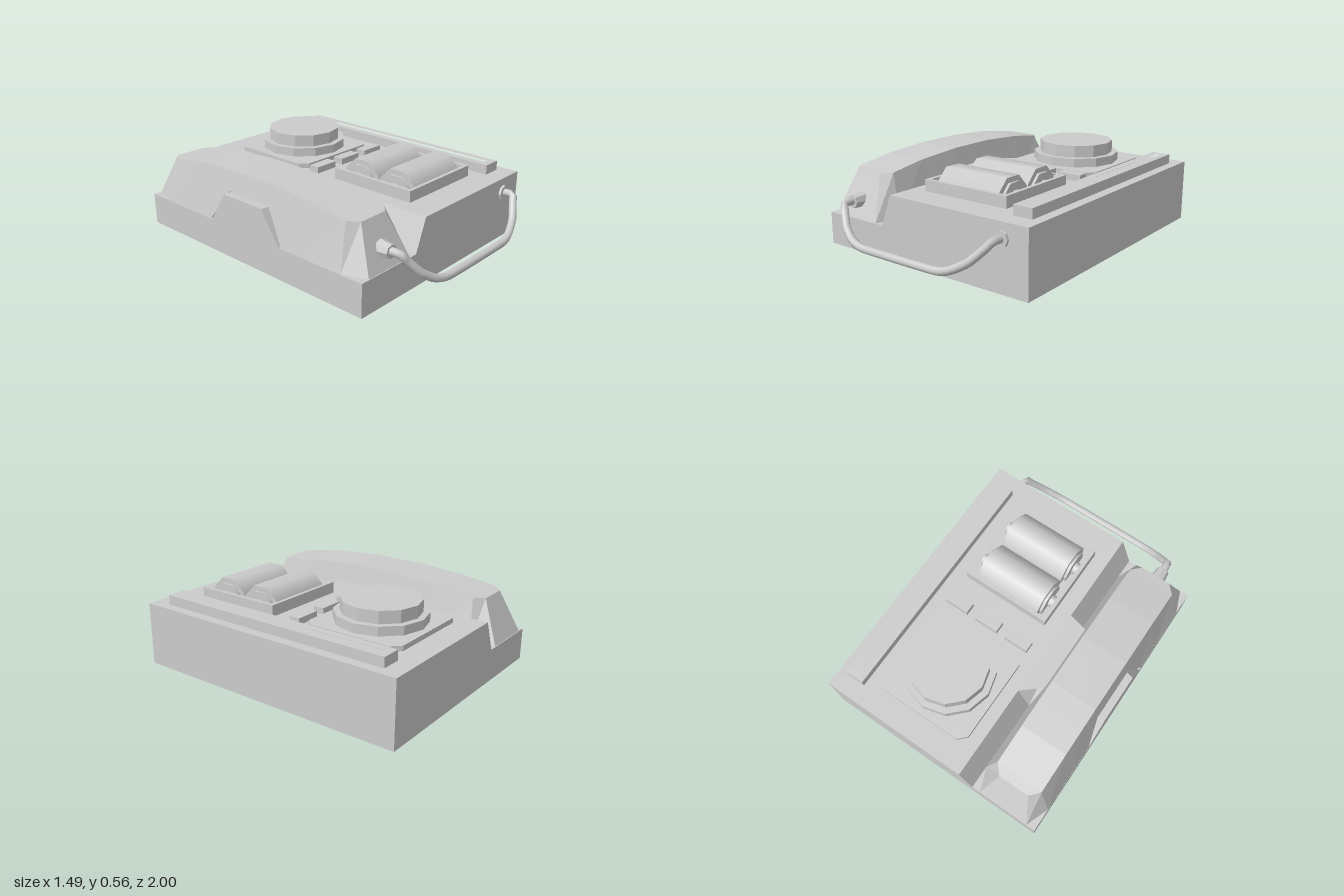
import * as THREE from 'three';

const grey = new THREE.MeshStandardMaterial({ color: 0xcccccc });
const flat = new THREE.MeshStandardMaterial({ color: 0xcccccc, flatShading: true });
const sheet = new THREE.MeshStandardMaterial({ color: 0xcccccc, flatShading: true, side: THREE.DoubleSide });

// Fans convex polygons into one flat-faced geometry
function polygons(faces) {
  const pos = [];
  for (const f of faces)
    for (let i = 1; i < f.length - 1; i++) pos.push(...f[0], ...f[i], ...f[i + 1]);
  const g = new THREE.BufferGeometry();
  g.setAttribute('position', new THREE.Float32BufferAttribute(pos, 3));
  g.computeVertexNormals();
  return g;
}

// Rectangle with chamfered corners, in (x, z)
function rectPoints(x0, x1, z0, z1, c = 0) {
  const p = c
    ? [[x0 + c, z0], [x1 - c, z0], [x1, z0 + c], [x1, z1 - c], [x1 - c, z1], [x0 + c, z1], [x0, z1 - c], [x0, z0 + c]]
    : [[x0, z0], [x1, z0], [x1, z1], [x0, z1]];
  return p.map(([x, z]) => new THREE.Vector2(x, -z));
}

// Upright slab from an (x, z) outline, with an optional opening
function slab(outline, y0, y1, hole) {
  const s = new THREE.Shape(outline);
  if (hole) s.holes.push(new THREE.Path(hole));
  return new THREE.ExtrudeGeometry(s, { depth: y1 - y0, bevelEnabled: false }).rotateX(-Math.PI / 2).translate(0, y0, 0);
}

const L = -0.745, R = 0.74, BACK = -1, FRONT = 0.79, TOP = 0.395, FLOOR = 0.2;
const XF = -0.3, XT = -0.222; // pocket wall at floor and at top

// Open-bottomed housing with two sunken pockets and a hump between them
function baseGeometry() {
  const faces = [
    [[R, 0, FRONT], [R, 0, BACK], [R, TOP, BACK], [R, TOP, FRONT]],
    [[L, 0, BACK], [L, 0, FRONT], [L, FLOOR, FRONT], [L, FLOOR, BACK]],
    [[L, FLOOR, -0.4], [L, FLOOR, 0.18], [L, TOP, 0.05], [L, TOP, -0.27]],
    [[XT, TOP, FRONT], [R, TOP, FRONT], [R, TOP, BACK], [XT, TOP, BACK]],
    [[L, TOP, 0.05], [XF, TOP, 0.05], [XT, TOP, 0.18], [XT, TOP, -0.4], [XF, TOP, -0.27], [L, TOP, -0.27]],
  ];
  for (const [end, zb, zt, flip] of [[FRONT, 0.18, 0.05, false], [BACK, -0.4, -0.27, true]]) {
    const part = [
      [[L, 0, end], [R, 0, end], [R, FLOOR, end], [L, FLOOR, end]],
      [[XF, FLOOR, end], [R, FLOOR, end], [R, TOP, end], [XT, TOP, end]],
      [[L, FLOOR, end], [XF, FLOOR, end], [XF, FLOOR, zb], [L, FLOOR, zb]],
      [[L, FLOOR, zb], [XF, FLOOR, zb], [XF, TOP, zt], [L, TOP, zt]],
      [[XF, FLOOR, end], [XT, TOP, end], [XT, TOP, zb], [XF, FLOOR, zb]],
      [[XF, FLOOR, zb], [XT, TOP, zb], [XF, TOP, zt]],
    ];
    faces.push(...part.map(f => (flip ? f.reverse() : f)));
  }
  return polygons(faces);
}

// Handset lofted along z; stations: z top, z bottom, y top, y bottom, half widths top and bottom
function handsetGeometry() {
  const cx = -0.522, mid = -0.105, low = 0.203;
  const half = [
    [0.777, 0.893, 0.462, low, 0.097, 0.167],
    [0.719, 0.75, 0.468, low, 0.15, 0.222],
    [0.475, 0.475, 0.503, low, 0.15, 0.222],
    [0.305, 0.305, 0.514, low, 0.15, 0.222],
    [0.168, 0.168, 0.523, 0.4, 0.15, 0.178],
  ];
  const stations = [...half, ...half.slice().reverse().map(([a, b, ...rest]) => [-a, -b, ...rest])];
  const rings = stations.map(([zt, zb, yt, yb, wt, wb]) => [
    [cx - wb, yb, mid + zb], [cx + wb, yb, mid + zb], [cx + wt, yt, mid + zt], [cx - wt, yt, mid + zt]]);
  const faces = [rings[0], rings[rings.length - 1].slice().reverse()];
  for (let i = 0; i < rings.length - 1; i++)
    for (let j = 0; j < 4; j++) {
      const k = (j + 1) % 4, a = rings[i], b = rings[i + 1];
      faces.push([a[j], b[j], b[k], a[k]]);
    }
  return polygons(faces);
}

// Lying eight-sided roll, cut off at the top of the housing
function rollGeometry(r, x0, x1, y, z) {
  const g = new THREE.CylinderGeometry(r, r, x1 - x0, 8, 1, false, Math.PI / 8)
    .rotateZ(Math.PI / 2).translate((x0 + x1) / 2, y, z);
  const p = g.attributes.position;
  for (let i = 0; i < p.count; i++) p.setY(i, Math.max(p.getY(i), TOP + 0.002));
  return g;
}

export function createModel() {
  const model = new THREE.Group();
  model.name = 'deskTelephone';
  const add = (name, geometry, material = flat) => {
    const m = new THREE.Mesh(geometry, material);
    m.name = name;
    model.add(m);
    return m;
  };

  add('base', baseGeometry(), sheet);
  add('handset', handsetGeometry());

  // Round dial on its plate
  const dialX = 0.172, dialZ = -0.532;
  add('dialPlate', slab(rectPoints(-0.143, 0.485, -0.845, -0.22, 0.05), TOP, 0.425));
  for (const [name, r, y0, y1] of [['dialRing', 0.275, 0.425, 0.48], ['dial', 0.236, 0.48, 0.555]])
    add(name, new THREE.CylinderGeometry(r, r, y1 - y0, 12).translate(dialX, (y0 + y1) / 2, dialZ));

  // Row of push buttons
  for (const x of [-0.05, 0.17, 0.39])
    add('button', new THREE.BoxGeometry(0.16, 0.04, 0.07).translate(x, TOP + 0.02, -0.144));

  // Tray holding two rolls with hubs and axles
  add('tray', slab(rectPoints(-0.124, 0.46, 0.03, 0.605), TOP, 0.465, rectPoints(-0.098, 0.436, 0.053, 0.582)));
  for (const z of [0.183, 0.452]) {
    const k = 1 / Math.cos(Math.PI / 8);
    add('roll', rollGeometry(0.13 * k, -0.05, 0.388, 0.4, z), grey);
    add('rollHub', rollGeometry(0.1 * k, -0.067, 0.405, 0.4, z), grey);
    add('rollAxle', rollGeometry(0.036 * k, -0.097, 0.435, 0.42, z), grey);
  }

  // Slotted rail along the side
  add('slotRail', slab(rectPoints(0.557, 0.678, -0.89, 0.675), TOP, 0.455, rectPoints(0.603, 0.634, -0.843, 0.627)));

  // Cord hanging in a sloped plane, with a collar at each end
  const hang = [[-0.53, 0.31], [-0.51, 0.28], [-0.44, 0.195], [-0.36, 0.143], [-0.25, 0.12],
    [0.28, 0.12], [0.38, 0.143], [0.47, 0.195], [0.55, 0.28], [0.573, 0.31]]
    .map(([x, y]) => new THREE.Vector3(x, y, 0.86 + (0.31 - y) * 0.6));
  const path = new THREE.CatmullRomCurve3([
    new THREE.Vector3(-0.53, 0.305, 0.74), ...hang, new THREE.Vector3(0.573, 0.305, 0.78)], false, 'catmullrom', 0.25);
  add('cord', new THREE.TubeGeometry(path, 48, 0.024, 8), grey);
  for (const [name, x, z0, z1, r0, r1] of [
    ['handsetCollar', -0.53, 0.725, 0.803, 0.05, 0.04], ['baseCollar', 0.573, 0.78, 0.806, 0.047, 0.047]])
    add(name, new THREE.CylinderGeometry(r1, r0, z1 - z0, 8).rotateX(Math.PI / 2).translate(x, 0.305, (z0 + z1) / 2));

  return model;
}
